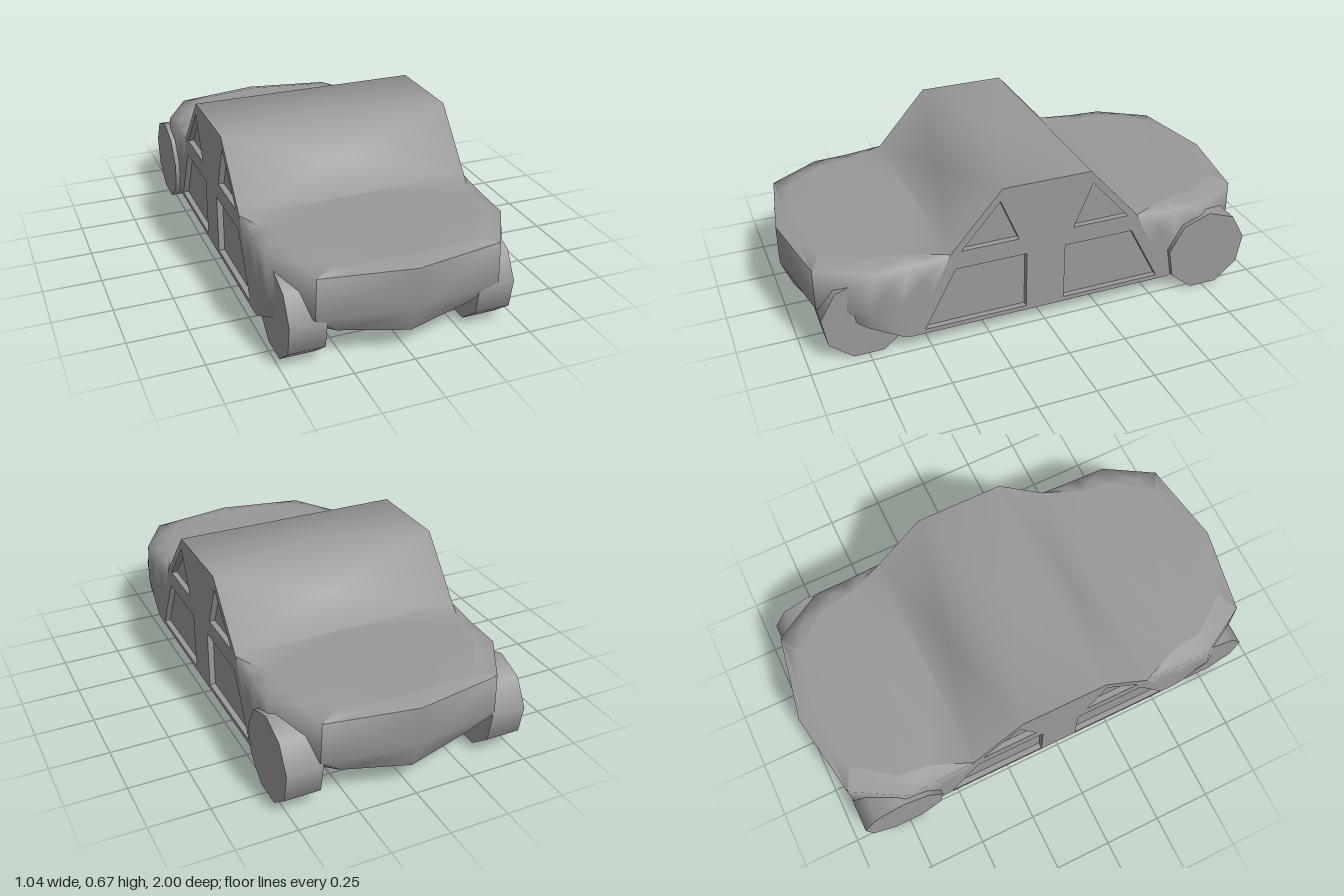
import * as THREE from 'three';
import { mergeGeometries, toCreasedNormals } from 'three/addons/utils/BufferGeometryUtils.js';

const material = new THREE.MeshStandardMaterial({ color: 0x999999 });
const flip = ([x, y, z]) => [-x, y, z];

// Surface through rows of points: rows run down, columns run right to left.
// Each cell is four triangles about its middle, so smooth shading stays even.
function grid(rows) {
  const pos = [];
  for (let i = 0; i < rows.length - 1; i++) {
    for (let j = 0; j < rows[i].length - 1; j++) {
      const loop = [rows[i][j], rows[i][j + 1], rows[i + 1][j + 1], rows[i + 1][j]];
      const mid = [0, 1, 2].map((k) => loop.reduce((sum, p) => sum + p[k] / 4, 0));
      loop.forEach((p, k) => pos.push(...p, ...loop[(k + 1) % 4], ...mid));
    }
  }
  const g = new THREE.BufferGeometry();
  g.setAttribute('position', new THREE.Float32BufferAttribute(pos, 3));
  return g;
}

// Half outlines of one end of the body, from the side to the centre line
const HOOD = [[0.5, 0.42, 0.41], [0.43, 0.422, 0.58], [0.41, 0.42, 0.72], [0.29, 0.413, 0.885], [0, 0.415, 0.93]];
const SHOULDER = [[0.5, 0.42, 0.41], [0.5, 0.405, 0.58], [0.5, 0.4, 0.72], [0.375, 0.395, 0.935], [0, 0.397, 1]];
const WAIST = [[0.5, 0.245, 0.495], [0.5, 0.22, 0.62], [0.5, 0.22, 0.75], [0.38, 0.22, 0.935], [0, 0.22, 1]];
const SILL = [[0.5, 0.07, 0.58], [0.5, 0.08, 0.62], [0.49, 0.15, 0.75], [0.28, 0.135, 0.9], [0, 0.104, 0.955]];

const RINGS = [HOOD, SHOULDER, WAIST, SILL].map((half) => [...half, ...half.slice(0, -1).reverse().map(flip)]);
const columns = (from, to) => grid(RINGS.map((ring) => ring.slice(from, to + 1)));
const across = (y, z) => [[0.5, y, z], [-0.5, y, z]];
const bothEnds = (make) => [make(), make().rotateY(Math.PI)];

// Bumper faces, hood, trunk and cabin top flow into each other
function makeTop() {
  const hood = () => grid(HOOD.map((p) => [p, [0, p[1], p[2]], flip(p)]));
  const bumper = () => columns(3, 5);
  const cabin = grid([across(0.42, -0.41), across(0.67, -0.19), across(0.67, 0.19), across(0.42, 0.41)]);
  return toCreasedNormals(mergeGeometries([...bothEnds(hood), ...bothEnds(bumper), cabin]), 1.3);
}

// Rounded fenders at the four corners
function makeFenders() {
  const fenders = [...bothEnds(() => columns(0, 3)), ...bothEnds(() => columns(5, 8))];
  return toCreasedNormals(mergeGeometries(fenders), 1.4);
}

// Underside, rising slightly towards both ends
function makeFloor() {
  const keel = ([, y, z]) => [0, Math.min(y, 0.07 + (z - 0.58) * 0.09), z];
  const end = () => grid(SILL.map((p) => [p, keel(p), flip(p)]).reverse());
  const middle = grid([across(0.07, 0.58), across(0.07, -0.58)]);
  return toCreasedNormals(mergeGeometries([...bothEnds(end), middle]), 0.6);
}

// Side wall with recessed doors and quarter windows, facing +x
const SIDE = [[-0.58, 0.07], [0.58, 0.07], [0.41, 0.42], [0.19, 0.67], [-0.19, 0.67], [-0.41, 0.42]];
const DOOR = [[0.085, 0.09], [0.525, 0.09], [0.39, 0.347], [0.085, 0.347]];
const WINDOW = [[0.12, 0.425], [0.365, 0.425], [0.2, 0.615]];
const RECESS = 0.025;

function makeSide() {
  const toShape = (pts) => new THREE.Shape(pts.map(([x, y]) => new THREE.Vector2(x, y)));
  const mirrored = (pts) => pts.map(([x, y]) => [-x, y]).reverse();
  const openings = [DOOR, mirrored(DOOR), WINDOW, mirrored(WINDOW)];
  const wall = toShape(SIDE);
  wall.holes = openings.map(toShape);
  const parts = [new THREE.ShapeGeometry(wall).toNonIndexed()];
  for (const pts of openings) {
    const loop = [...pts, pts[0]];
    parts.push(grid([0, -RECESS].map((z) => loop.map(([x, y]) => [x, y, z]))));
    parts.push(new THREE.ShapeGeometry(toShape(pts)).toNonIndexed().translate(0, 0, -RECESS));
  }
  parts.forEach((g) => {
    g.deleteAttribute('uv');
    g.computeVertexNormals();
  });
  return mergeGeometries(parts).translate(0, 0, 0.5).rotateY(Math.PI / 2);
}

export function createModel() {
  const model = new THREE.Group();
  const add = (name, geometry) => {
    const mesh = new THREE.Mesh(geometry, material);
    mesh.name = name;
    model.add(mesh);
    return mesh;
  };

  add('bodyTop', makeTop());
  add('fenders', makeFenders());
  add('floor', makeFloor());
  const side = makeSide();
  add('leftSide', side);
  add('rightSide', side).rotation.y = Math.PI;

  // Nine-sided wheels with a corner at the top and a flat at the ground
  const wheel = new THREE.CylinderGeometry(0.1856, 0.1856, 0.15, 9).rotateZ(Math.PI / 2).rotateX(-Math.PI / 2);
  const wheels = [
    ['frontLeftWheel', 0.375, 0.75], ['frontRightWheel', -0.405, 0.75],
    ['rearLeftWheel', 0.445, -0.757], ['rearRightWheel', -0.445, -0.757],
  ];
  for (const [name, x, z] of wheels) add(name, wheel).position.set(x, 0.1745, z);

  return model;
}
